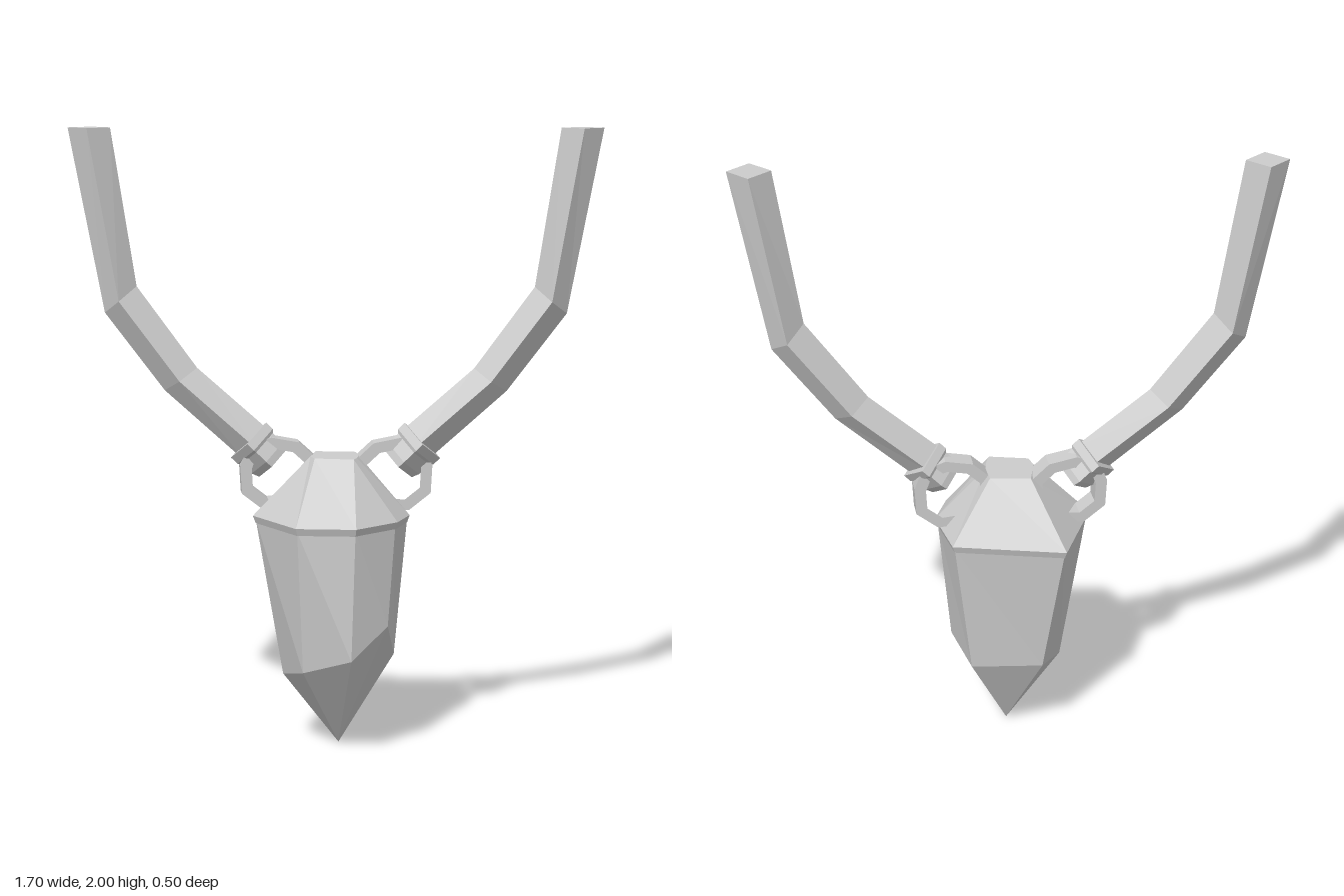
import * as THREE from 'three';

const material = new THREE.MeshStandardMaterial({ color: 0xcccccc, flatShading: true });

// Faceted solid through rings of [x, y, z] points, listed bottom to top
function loft(rings, flip = false) {
  const pos = [];
  const tri = (a, b, c) => pos.push(...a, ...(flip ? c : b), ...(flip ? b : c));
  const n = rings[0].length;
  for (let i = 0; i < rings.length - 1; i++) {
    for (let j = 0; j < n; j++) {
      const k = (j + 1) % n, a = rings[i], b = rings[i + 1];
      tri(a[j], a[k], b[j]);
      tri(a[k], b[k], b[j]);
    }
  }
  const low = rings[0], high = rings[rings.length - 1];
  for (let j = 1; j < n - 1; j++) {
    tri(low[0], low[j + 1], low[j]);
    tri(high[0], high[j], high[j + 1]);
  }
  const geometry = new THREE.BufferGeometry();
  geometry.setAttribute('position', new THREE.Float32BufferAttribute(pos, 3));
  geometry.computeVertexNormals();
  return geometry;
}

function add(parent, name, geometry) {
  const mesh = new THREE.Mesh(geometry, material);
  mesh.name = name;
  parent.add(mesh);
}

// Diamond cross-section between an outer and an inner point, mirrored by side
const diamond = (side, [ox, oy], [ix, iy], z, h) => {
  const mx = (ox + ix) / 2, my = (oy + iy) / 2;
  return [[ox, oy, z], [mx, my, z - h], [ix, iy, z], [mx, my, z + h]]
    .map(([x, y, pz]) => [side * x, y, pz]);
};

function createModel() {
  const model = new THREE.Group();
  model.name = 'crystalPendant';

  // Seven-sided outlines of the stone and its cap, as [x, z]
  const rim = [[0.24, 0], [0.19, -0.19], [-0.17, -0.25], [-0.265, 0.02],
    [-0.12, 0.235], [0.07, 0.245], [0.2, 0.12]];
  const crown = [[0.075, -0.02], [0.065, -0.09], [-0.065, -0.1], [-0.08, 0],
    [-0.065, 0.04], [0.06, 0.06], [0.07, 0.03]];
  const ring = (points, y, s = 1) => points.map(([x, z]) => [x * s, y, z * s]);

  // Irregular crystal: tip, uneven shoulder, top under the cap
  const shoulder = [[0.19, 0.31, 0.03], [0.13, 0.285, -0.15], [-0.1, 0.3, -0.18],
    [-0.17, 0.235, 0], [-0.1, 0.28, 0.17], [0.055, 0.335, 0.24], [0.17, 0.43, 0.15]];
  const tip = rim.map(() => [0.01, 0, -0.02]);
  add(model, 'crystal', loft([tip, shoulder, ring(rim, 0.75, 0.965)]));

  // Faceted cap with a thin rim
  add(model, 'cap', loft([ring(rim, 0.738, 0.965), ring(rim, 0.762), ring(crown, 0.953)]));

  for (const side of [1, -1]) {
    const label = side > 0 ? 'left' : 'right';

    // Square cord set on edge, bending up and outward
    add(model, label + 'Cord', loft([
      diamond(side, [0.29, 0.93], [0.2, 1.02], -0.033, 0.058),
      diamond(side, [0.55, 1.16], [0.445, 1.233], -0.047, 0.062),
      diamond(side, [0.74, 1.41], [0.637, 1.495], -0.054, 0.065),
      diamond(side, [0.85, 2], [0.715, 2], -0.055, 0.065),
    ], side < 0));

    // Collar clasping the end of the cord, slightly flared at its lip
    const collarRing = (t, r) => {
      const x = 0.21 + t * 0.7, y = 0.93 + t * 0.7;
      return diamond(side, [x + r * 0.7, y - r * 0.7], [x - r * 0.7, y + r * 0.7], -0.035, r);
    };
    add(model, label + 'Collar', loft([
      collarRing(-0.01, 0.062), collarRing(0.015, 0.072), collarRing(0.06, 0.072),
      collarRing(0.07, 0.082), collarRing(0.1, 0.082),
    ], side < 0));

    // Faceted link joining the collar to the cap
    const cx = 0.187, cy = 0.89;
    const outline = [[0.06, 0.94], [0.12, 0.995], [0.21, 1.012], [0.285, 0.985],
      [0.31, 0.92], [0.305, 0.83], [0.235, 0.775], [0.13, 0.785], [0.07, 0.86]];
    const scaled = (s) => outline.map(([x, y]) =>
      new THREE.Vector2(side * (cx + (x - cx) * s), cy + (y - cy) * s));
    const shape = new THREE.Shape(scaled(1));
    shape.holes.push(new THREE.Path(scaled(0.7)));
    const link = new THREE.ExtrudeGeometry(shape, { depth: 0.066, bevelEnabled: false });
    link.translate(-side * cx, 0, -0.033);
    link.rotateY(side < 0 ? 0.12 : 0.1);
    link.translate(side * cx, 0, -0.045);
    add(model, label + 'Link', link);
  }
  return model;
}

export { createModel };
